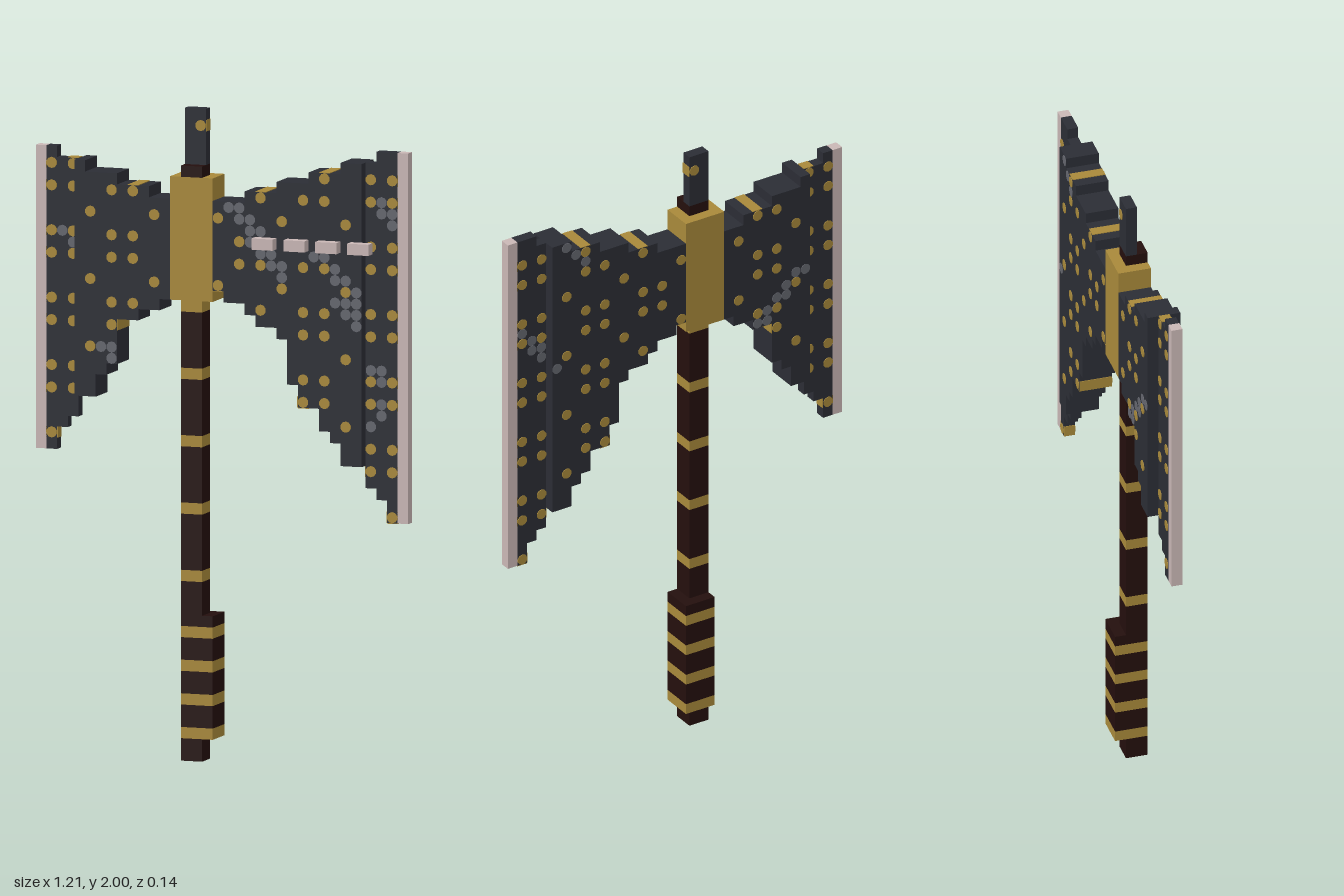
import * as THREE from 'three';
import { mergeGeometries } from 'three/addons/utils/BufferGeometryUtils.js';

const U = 2 / 58; // one block

const mat = (name, color) => {
  const m = new THREE.MeshStandardMaterial({ color });
  m.name = name;
  return m;
};

// Box between block coordinates
function box(x0, x1, y0, y1, z0, z1) {
  return new THREE.BoxGeometry((x1 - x0) * U, (y1 - y0) * U, (z1 - z0) * U)
    .translate(((x0 + x1) / 2 - 17.5) * U, ((y0 + y1) / 2) * U, ((z0 + z1) / 2) * U);
}

// Round inlay along z, centred in one block
function disc(col, row, z0, z1) {
  return new THREE.CylinderGeometry(U * 0.5, U * 0.5, (z1 - z0) * U, 10)
    .rotateX(Math.PI / 2)
    .translate((col + 0.5 - 17.5) * U, (row + 0.5) * U, ((z0 + z1) / 2) * U);
}

export function createModel() {
  const group = new THREE.Group();
  const gold = mat('gold', 0xa8893a);
  const steel = mat('darkSteel', 0x2b2d35);
  const wood = mat('darkWood', 0x240f0d);
  const bone = mat('paleEdge', 0xc9b7b5);
  const grey = mat('greyVein', 0x64666e);

  const add = (name, material, geometries) => {
    const mesh = new THREE.Mesh(mergeGeometries(geometries), material);
    mesh.name = name;
    group.add(mesh);
  };

  // Stack of wood and gold bands
  function banded(name, x0, x1, y0, y1, z0, z1, bands) {
    const woods = [], golds = [];
    let y = y0;
    for (const b of bands) {
      if (b > y) woods.push(box(x0, x1, y, b, z0, z1));
      golds.push(box(x0, x1, b, b + 1, z0, z1));
      y = b + 1;
    }
    if (y < y1) woods.push(box(x0, x1, y, y1, z0, z1));
    add(name, wood, woods);
    add(name + 'Bands', gold, golds);
  }
  banded('handleEnd', 14, 16, 0, 2, -1, 1, [2].filter((b) => b < 2).concat([]).length ? [] : [1.999]);
  group.remove(group.children[1]); // plain end cap without a band
  banded('grip', 14, 17, 2, 13, -2, 1, [2, 5, 8, 11]);
  banded('handle', 14, 16, 13, 41, -1, 1, [16, 22, 28, 34, 40]);

  // Head block and the collar above it
  add('headBlock', gold, [box(13, 17, 41, 52, -2, 1)]);
  add('collar', wood, [box(14, 16, 52, 53, -1, 1)]);

  // Bottom and top row of each blade column, and of the spike
  const columns = new Map();
  const fill = (first, bottoms, tops) =>
    bottoms.forEach((b, i) => columns.set(first + i, [b, tops(first + i)]));
  fill(1, [27, 29, 30, 32, 32, 34, 35, 39, 39, 40, 40, 41],
    (c) => (c === 1 ? 54 : 53 - Math.floor((c - 2) / 3)));
  fill(14, [53, 53], () => 58);
  fill(17, [42, 41, 41, 40, 39, 39, 38, 34, 32, 32, 30, 29, 27, 27, 25, 24, 22],
    (c) => 50 + Math.floor((c - 17) / 3));
  const depth = (c) => (c < 4 || c > 30 || c === 14 || c === 15 ? [-1, 0] : [-2, 1]);
  const filled = (c, r) => columns.has(c) && r >= columns.get(c)[0] && r < columns.get(c)[1];

  const parts = { rightBlade: [], spike: [], leftBlade: [] };
  const dots = [];
  const e = 0.06;
  for (const [c, [b, t]] of columns) {
    const [z0, z1] = depth(c);
    parts[c < 13 ? 'rightBlade' : c < 17 ? 'spike' : 'leftBlade'].push(box(c, c + 1, b, t, z0, z1));
    // Regular gold inlays, showing as full squares on the stepped rims
    for (let r = b; r < t; r++) {
      const m = c % 6, n = r % 6;
      const isDot = ((m === 1 || m === 3) && (n === 2 || n === 4)) || (m === 5 && n === 0);
      if (!isDot) continue;
      dots.push(disc(c, r, z0 - e, z1 + e));
      if (!filled(c, r + 1)) dots.push(box(c, c + 1, r + 1, r + 1 + e, z0, z1));
      if (!filled(c, r - 1)) dots.push(box(c, c + 1, r - e, r, z0, z1));
      if (!filled(c + 1, r)) dots.push(box(c + 1, c + 1 + e, r, r + 1, z0, z1));
      if (!filled(c - 1, r)) dots.push(box(c - e, c, r, r + 1, z0, z1));
    }
  }
  for (const name in parts) add(name, steel, parts[name]);
  add('goldInlays', gold, dots);

  // Pale cutting edges and the row of studs on the front
  add('rightCuttingEdge', bone, [box(0, 1, 27, 54, -1, 0)]);
  add('leftCuttingEdge', bone, [box(34, 35, 22, 55, -1, 0)]);
  add('studs', bone, [21, 24, 27, 30].map((c) => box(c, c + 2, 46, 47, 1, 2)));

  // Diagonal grey veins: column, row, length, row step, front (1) or back (-1)
  const veins = [
    [18, 49, 4, -1, 1], [20, 46, 4, -1, 1], [26, 45, 5, -1, 1], [28, 41, 3, -1, 1],
    [31, 50, 3, -1, 1], [31, 35, 2, -1, 1], [31, 30, 2, 1, 1], [2, 46, 2, -1, 1],
    [6, 36, 2, -1, 1], [4, 43, 6, -1, -1], [30, 41, 4, 1, -1], [27, 51, 3, 1, -1],
  ];
  const veinDiscs = [];
  for (const [c0, r0, n, step, side] of veins) {
    for (let i = 0; i < n; i++) {
      for (const r of [r0 + i * step, r0 + i * step + 1]) {
        const c = c0 + i;
        if (!filled(c, r) || (r !== r0 + i * step && i === 0)) continue;
        const z = side > 0 ? depth(c)[1] : depth(c)[0];
        veinDiscs.push(disc(c, r, z - 0.04, z + 0.04));
      }
    }
  }
  add('greyVeins', grey, veinDiscs);

  return group;
}
